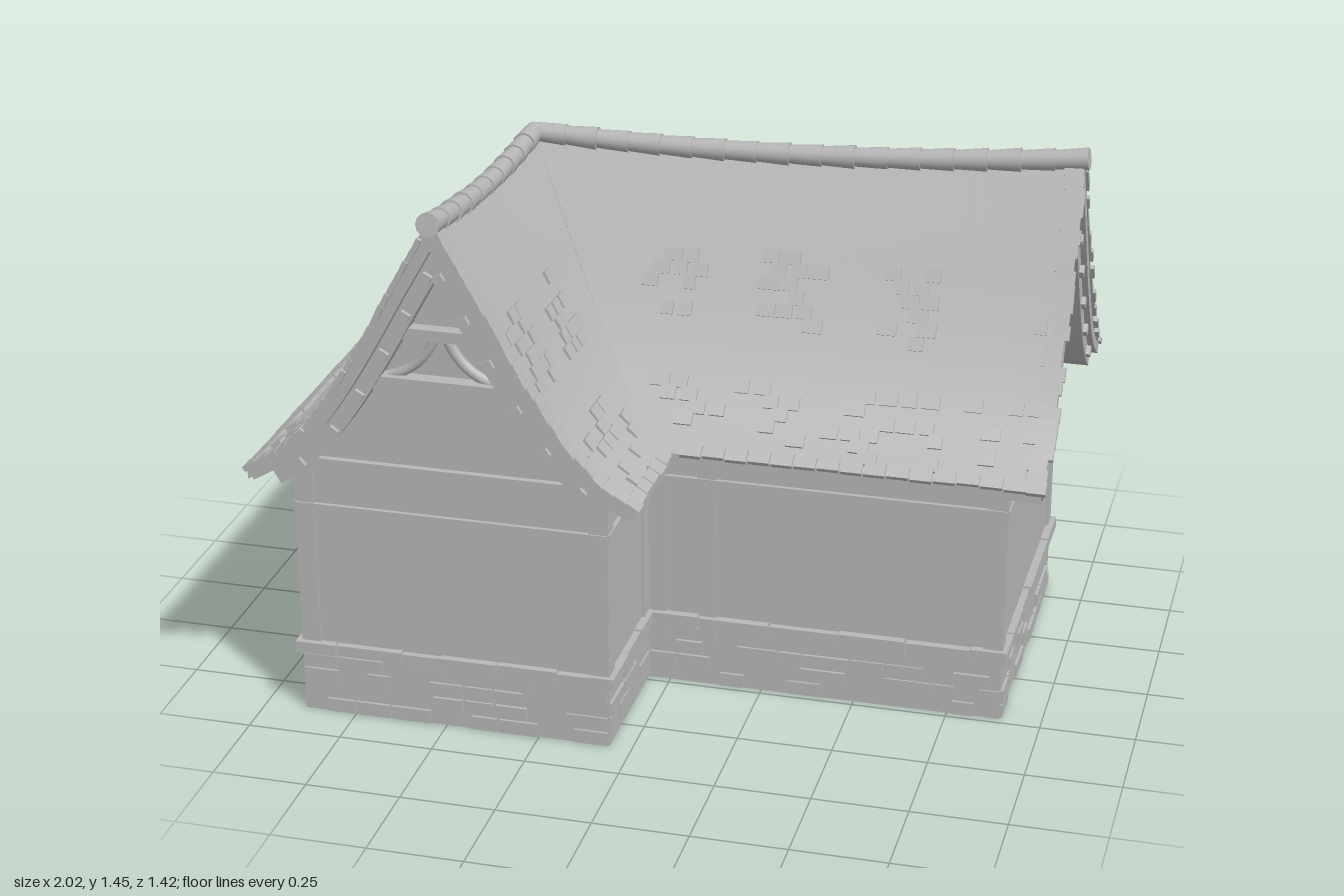
import * as THREE from 'three';
import { mergeGeometries, toCreasedNormals } from 'three/addons/utils/BufferGeometryUtils.js';

const grey = new THREE.MeshStandardMaterial({ color: 0xb8b8b8 });
grey.name = 'plain grey';

let seed = 7;
const rnd = (a = 0, b = 1) => {
  seed = (seed * 16807) % 2147483647;
  return a + (b - a) * (seed / 2147483647);
};
const V = (x, y, z) => new THREE.Vector3(x, y, z);

// Ridge corner of the L, and the length of each wing's ridge
const CX = -0.48, CZ = -0.18, WIDTH = 0.51;
const LEN = { main: 1.465, front: 0.865 };

// Flared roof profile: x = distance from ridge, y = height
const profile = new THREE.CatmullRomCurve3([[0, 1.42], [0.1, 1.245], [0.2, 1.065], [0.28, 0.935],
  [0.35, 0.84], [0.43, 0.762], [0.51, 0.712]].map(([x, y]) => V(x, y, 0)));

function roofAt(wing, side, u, t) {
  const p = profile.getPointAt(u), f = Math.max(0, t) / LEN[wing];
  const y = p.y + (-0.05 - 0.06 * f + 0.11 * f * f) * (1 - p.x / WIDTH);
  return wing === 'main' ? V(CX + t, y, CZ + side * p.x) : V(CX + side * p.x, y, CZ + t);
}

function add(parent, name, geo) {
  const mesh = new THREE.Mesh(geo, grey);
  mesh.name = name;
  parent.add(mesh);
  return mesh;
}

// Box given by its limits
function box(x0, x1, y0, y1, z0, z1) {
  return new THREE.BoxGeometry(x1 - x0, y1 - y0, z1 - z0)
    .translate((x0 + x1) / 2, (y0 + y1) / 2, (z0 + z1) / 2);
}

// Closed solid through rings whose second half runs back under the first
function loft(rings, flip) {
  const pos = [], n = rings[0].length;
  const tri = (a, b, c) => (flip ? [a, c, b] : [a, b, c]).forEach(p => pos.push(p.x, p.y, p.z));
  const quad = (a, b, c, d) => { tri(a, b, c); tri(a, c, d); };
  for (let k = 0; k + 1 < rings.length; k++)
    for (let i = 0; i < n; i++) {
      const j = (i + 1) % n;
      quad(rings[k][i], rings[k][j], rings[k + 1][j], rings[k + 1][i]);
    }
  const r = rings[0], e = rings[rings.length - 1];
  for (let i = 0; i < n / 2 - 1; i++) {
    quad(e[i], e[i + 1], e[n - 2 - i], e[n - 1 - i]);
    quad(r[n - 1 - i], r[n - 2 - i], r[i + 1], r[i]);
  }
  const g = new THREE.BufferGeometry();
  g.setAttribute('position', new THREE.Float32BufferAttribute(pos, 3));
  return toCreasedNormals(g, 0.6);
}

function roofSlope(wing, side) {
  const rings = [], N = 16, M = 16;
  for (let k = 0; k <= M; k++) {
    const top = [];
    for (let i = 0; i <= N; i++) {
      const start = side * profile.getPointAt(i / N).x;
      top.push(roofAt(wing, side, i / N, start + (LEN[wing] - start) * k / M));
    }
    rings.push([...top, ...top.map(p => V(p.x, p.y - 0.03, p.z)).reverse()]);
  }
  return loft(rings, wing === 'main' ? side < 0 : side > 0);
}

// One thin tile lying on a slope
function tile(wing, side, u, t, w, h, thick) {
  const p = roofAt(wing, side, u, t);
  const down = roofAt(wing, side, Math.min(1, u + 0.01), t)
    .sub(roofAt(wing, side, Math.min(1, u + 0.01) - 0.02, t)).normalize();
  const along = wing === 'main' ? V(1, 0, 0) : V(0, 0, 1);
  const up = down.clone().cross(along).normalize();
  if (up.y < 0) up.negate();
  const m = new THREE.Matrix4().makeBasis(up.clone().cross(down), up, down).setPosition(p.addScaledVector(up, 0.002));
  return new THREE.BoxGeometry(w, thick, h).rotateX(0.06).applyMatrix4(m);
}

function roofTiles(wing, side) {
  const out = [], L = LEN[wing];
  const put = (u, t) => {
    const start = side * profile.getPointAt(u).x;
    if (t > start + 0.07 && t < L - 0.04) out.push(tile(wing, side, u, t, rnd(0.035, 0.055), 0.036, 0.012));
  };
  // scattered clusters higher up
  for (let c = side < 0 ? -0.15 : 0.3; c < L; c += 0.34) {
    const u0 = rnd(0.3, 0.42), t0 = c + rnd(0, 0.1);
    for (let r = 0; r < 6; r++)
      for (let k = 0; k < 3; k++) if (rnd() < 0.6) put(u0 + r * 0.042, t0 + k * 0.052 + (r % 2) * 0.026);
  }
  // looser rows near the eaves
  for (let r = 0; r < 6; r++)
    for (let t = -0.5; t < L; t += 0.055) if (rnd() < 0.33) put(0.74 + r * 0.042, t + (r % 2) * 0.027);
  // ragged verge and eave
  for (let u = 0.03; u < 1; u += 0.04)
    out.push(tile(wing, side, u, L - 0.015 + rnd(-0.008, 0.008), 0.05, 0.038, 0.014));
  for (let t = side * WIDTH + 0.05; t < L - 0.03; t += 0.06)
    out.push(tile(wing, side, 0.985, t, 0.055, rnd(0.03, 0.042), 0.012));
  return mergeGeometries(out);
}

// Overlapping round ridge tiles along a path
function ridgeTiles(path, n) {
  const out = [];
  for (let i = 0; i < n; i++) {
    const a = path(i / n), b = path((i + 1) / n), dir = b.clone().sub(a);
    const g = new THREE.CylinderGeometry(0.029 + rnd(0, 0.003), 0.025, dir.length() * 1.08, 12);
    g.applyQuaternion(new THREE.Quaternion().setFromUnitVectors(V(0, 1, 0), dir.normalize()));
    out.push(g.translate((a.x + b.x) / 2, (a.y + b.y) / 2, (a.z + b.z) / 2));
  }
  return mergeGeometries(out);
}

// Profile moved inward by a, with a mitred peak
function offsetAt(u, a) {
  const p = profile.getPointAt(u), t = profile.getTangentAt(u);
  return new THREE.Vector2(p.x + t.y * a, p.y - t.x * a);
}
function offsetLine(a, uEnd) {
  const pts = [new THREE.Vector2(0, 1.42 - a / profile.getTangentAt(0).x)];
  for (let i = 1; i <= 18; i++) {
    const p = offsetAt(uEnd * i / 18, a);
    if (p.x > 0.003) pts.push(p);
  }
  return [...pts.slice(1).reverse().map(p => new THREE.Vector2(-p.x, p.y)), ...pts];
}
function extrude(points, z0, z1) {
  return new THREE.ExtrudeGeometry(new THREE.Shape(points), { depth: z1 - z0, bevelEnabled: false }).translate(0, 0, z0);
}
const band = (a, b, uEnd, z0, z1) => extrude([...offsetLine(a, uEnd), ...offsetLine(b, uEnd).reverse()], z0, z1);

// Gable end: local x across, z outward from the ridge corner
function gable(wing, wallZ) {
  const g = new THREE.Group(), L = LEN[wing];
  g.name = wing + 'Gable';
  g.position.set(CX, 0, CZ);
  if (wing === 'main') g.rotation.y = Math.PI / 2;
  const edge = offsetLine(0.03, 1).filter(p => Math.abs(p.x) < 0.405);
  add(g, 'gableWall', extrude([new THREE.Vector2(-0.405, 0.7), ...edge, new THREE.Vector2(0.405, 0.7)], wallZ - 0.035, wallZ - 0.005));
  add(g, 'bargeBoard', band(-0.006, 0.034, 1, L - 0.035, L + 0.004));
  add(g, 'innerRafter', band(0.036, 0.078, 0.94, wallZ - 0.01, L - 0.012));
  add(g, 'tieBeam', box(-0.4, 0.4, 0.7, 0.735, wallZ - 0.02, wallZ + 0.012));
  add(g, 'lowerCollar', box(-0.2, 0.2, 0.955, 0.99, wallZ - 0.02, wallZ + 0.035));
  add(g, 'upperCollar', box(-0.13, 0.13, 1.095, 1.125, wallZ - 0.02, wallZ + 0.03));
  for (const s of [-1, 1]) {
    const arc = new THREE.QuadraticBezierCurve3(V(s * 0.14, 0.985, wallZ + 0.005), V(s * 0.05, 1.01, wallZ + 0.005), V(s * 0.015, 1.1, wallZ + 0.005));
    add(g, 'archedBrace', new THREE.TubeGeometry(arc, 10, 0.014, 6));
    for (const u of [0.15, 0.29, 0.43, 0.58, 0.72, 0.86]) {
      const p = offsetAt(u, 0.058);
      const peg = add(g, 'purlinEnd', new THREE.BoxGeometry(0.022, 0.026, 0.05));
      peg.position.set(s * p.x, p.y, L - 0.025);
      const t = profile.getTangentAt(u);
      peg.rotation.z = s * Math.atan2(t.y, t.x);
    }
  }
  return g;
}

// One wall run: local x along the wall, z outward
function wallRun([x0, z0], [x1, z1], extraPosts) {
  const g = new THREE.Group(), len = Math.hypot(x1 - x0, z1 - z0);
  g.name = 'wallRun';
  g.position.set(x0, 0, z0);
  g.rotation.y = Math.atan2(z0 - z1, x1 - x0);
  add(g, 'plasterWall', box(0.004, len - 0.004, 0.17, 0.74, -0.035, -0.005));
  add(g, 'stoneBase', box(0, len, 0, 0.19, -0.06, 0));
  add(g, 'rail', box(0, len, 0.572, 0.602, -0.02, 0.006));
  add(g, 'wallPlate', box(0, len, 0.7, 0.735, -0.02, 0.006));
  for (const x of [0.025, len - 0.025, ...extraPosts])
    add(g, 'post', box(x - 0.025, x + 0.025, 0.19, 0.73, -0.04, 0.002));
  // raised stones and the projecting cap course
  const stones = [], caps = [];
  for (let r = 0; r < 4; r++)
    for (let x = 0; x < len - 0.03;) {
      const w = Math.min(rnd(0.06, 0.13), len - x);
      if (rnd() < 0.55) stones.push(box(x + 0.003, x + w - 0.003, r * 0.042 + 0.002, r * 0.042 + 0.039, -0.01, rnd(0.004, 0.009)));
      x += w;
    }
  for (let x = -0.015; x < len;) {
    let w = rnd(0.1, 0.19);
    if (len + 0.015 - x - w < 0.07) w = len + 0.015 - x;
    caps.push(box(x, x + w - 0.003, 0.168 + rnd(0, 0.004), 0.198 + rnd(0, 0.005), -0.05, rnd(0.012, 0.018)));
    x += w;
  }
  add(g, 'baseStones', mergeGeometries(stones));
  add(g, 'capCourse', mergeGeometries(caps));
  return g;
}

export function createModel() {
  const house = new THREE.Group();
  house.name = 'house';

  // L-shaped walls, open underneath
  const plan = [[-0.89, 0.62], [-0.06, 0.62], [-0.06, 0.23], [0.89, 0.23], [0.89, -0.59], [-0.89, -0.59]];
  plan.forEach((p, i) => house.add(wallRun(p, plan[(i + 1) % 6], i === 2 ? [0.16] : [])));

  // Roof slopes with tiles
  for (const wing of ['main', 'front'])
    for (const side of [-1, 1]) {
      add(house, wing + 'RoofSlope', roofSlope(wing, side));
      add(house, wing + 'RoofTiles', roofTiles(wing, side));
      // rafter ends under the eaves
      for (let t = side > 0 ? 0.62 : 0; t < LEN[wing] - 0.1; t += 0.42) {
        const p = roofAt(wing, side, 0.93, t);
        add(house, 'rafterEnd', new THREE.BoxGeometry(0.04, 0.03, 0.04)).position.set(p.x, p.y - 0.042, p.z);
      }
    }

  // Ridge and hip caps
  for (const [wing, n] of [['main', 17], ['front', 10]])
    add(house, wing + 'RidgeCap', ridgeTiles(f => roofAt(wing, 1, 0, f * (LEN[wing] + 0.012)), n));
  add(house, 'hipCap', ridgeTiles(f => {
    const d = profile.getPointAt(f).x;
    return roofAt('main', -1, f, -d);
  }, 16));

  house.add(gable('main', 1.37), gable('front', 0.8));
  return house;
}
